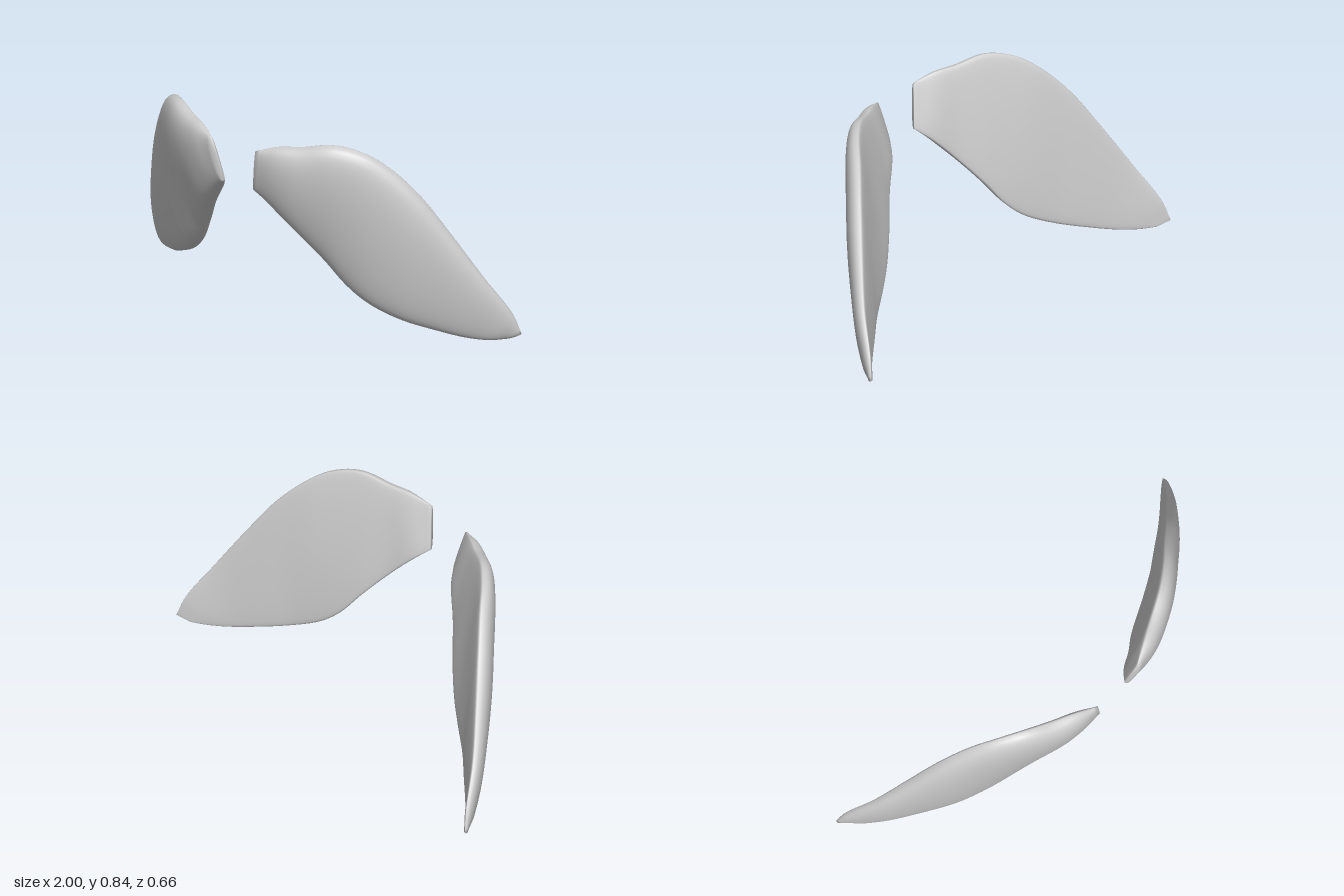
import * as THREE from 'three';

// Stations from the inner end to the outer tip: upper rim, lower rim, bulge of the front face
const STATIONS = [
  [[0.12, 0.783, 0.318], [0.08, 0.60, 0.285], 0.02],
  [[0.21, 0.812, 0.28], [0.13, 0.55, 0.24], 0.06],
  [[0.30, 0.822, 0.238], [0.22, 0.45, 0.185], 0.08],
  [[0.42, 0.845, 0.18], [0.32, 0.32, 0.11], 0.088],
  [[0.52, 0.82, 0.112], [0.40, 0.21, 0.06], 0.088],
  [[0.60, 0.76, 0.044], [0.48, 0.14, 0.02], 0.086],
  [[0.70, 0.64, -0.038], [0.60, 0.08, -0.042], 0.078],
  [[0.80, 0.47, -0.122], [0.72, 0.04, -0.122], 0.064],
  [[0.90, 0.28, -0.213], [0.82, 0.013, -0.19], 0.047],
  [[0.975, 0.12, -0.303], [0.90, 0.003, -0.25], 0.03],
  [[1.0, 0.03, -0.33], [0.95, 0.008, -0.295], 0.012],
];
const ROWS = 48, RING = 48;

const curveOf = (points) => new THREE.CatmullRomCurve3(points.map((p) => new THREE.Vector3(...p)));

// One curved pad: domed in front, flat with a rounded rim behind; side = 1 or -1 mirrors it
function padGeometry(side) {
  const upper = curveOf(STATIONS.map((s) => s[0]));
  const lower = curveOf(STATIONS.map((s) => s[1]));
  const bulge = curveOf(STATIONS.map((s, i) => [i, s[2], 0]));
  const pos = [], index = [];
  const add = (p) => pos.push(p.x * side, p.y, p.z);
  const face = (a, b, c) => (side > 0 ? index.push(a, b, c) : index.push(a, c, b));

  // Cross-sections: upper rim, front (fuller towards the lower rim), lower rim, back
  for (let i = 0; i <= ROWS; i++) {
    const t = i / ROWS;
    const u = upper.getPoint(t), l = lower.getPoint(t);
    const mid = u.clone().add(l).multiplyScalar(0.5);
    const half = u.clone().sub(l).multiplyScalar(0.5);
    const normal = upper.getTangent(t).add(lower.getTangent(t)).cross(half).normalize();
    const front = bulge.getPoint(t).y;
    const back = Math.min(0.018, 0.25 * front);
    for (let j = 0; j < RING; j++) {
      const a = (j / RING) * Math.PI * 2, s = Math.sin(a), c = Math.cos(a);
      const depth = s >= 0 ? front * Math.pow(s, 0.66 + 0.12 * c) : -back * Math.pow(-s, 0.6);
      add(mid.clone().addScaledVector(half, c).addScaledVector(normal, depth));
    }
  }
  for (let i = 0; i < ROWS; i++) {
    for (let j = 0; j < RING; j++) {
      const a = i * RING + j, b = i * RING + ((j + 1) % RING);
      face(a, b, a + RING);
      face(b, b + RING, a + RING);
    }
  }
  // Close both ends with a fan
  for (const row of [0, ROWS]) {
    const centre = pos.length / 3;
    add(upper.getPoint(row / ROWS).lerp(lower.getPoint(row / ROWS), 0.5));
    for (let j = 0; j < RING; j++) {
      const a = row * RING + j, b = row * RING + ((j + 1) % RING);
      if (row === 0) face(centre, b, a);
      else face(centre, a, b);
    }
  }
  const geometry = new THREE.BufferGeometry();
  geometry.setAttribute('position', new THREE.Float32BufferAttribute(pos, 3));
  geometry.setIndex(index);
  geometry.computeVertexNormals();
  return geometry;
}

export function createModel() {
  const group = new THREE.Group();
  group.name = 'padPair';
  const material = new THREE.MeshStandardMaterial({ color: 0xcccccc });
  for (const [name, side] of [['leftPad', 1], ['rightPad', -1]]) {
    const mesh = new THREE.Mesh(padGeometry(side), material);
    mesh.name = name;
    group.add(mesh);
  }
  return group;
}
